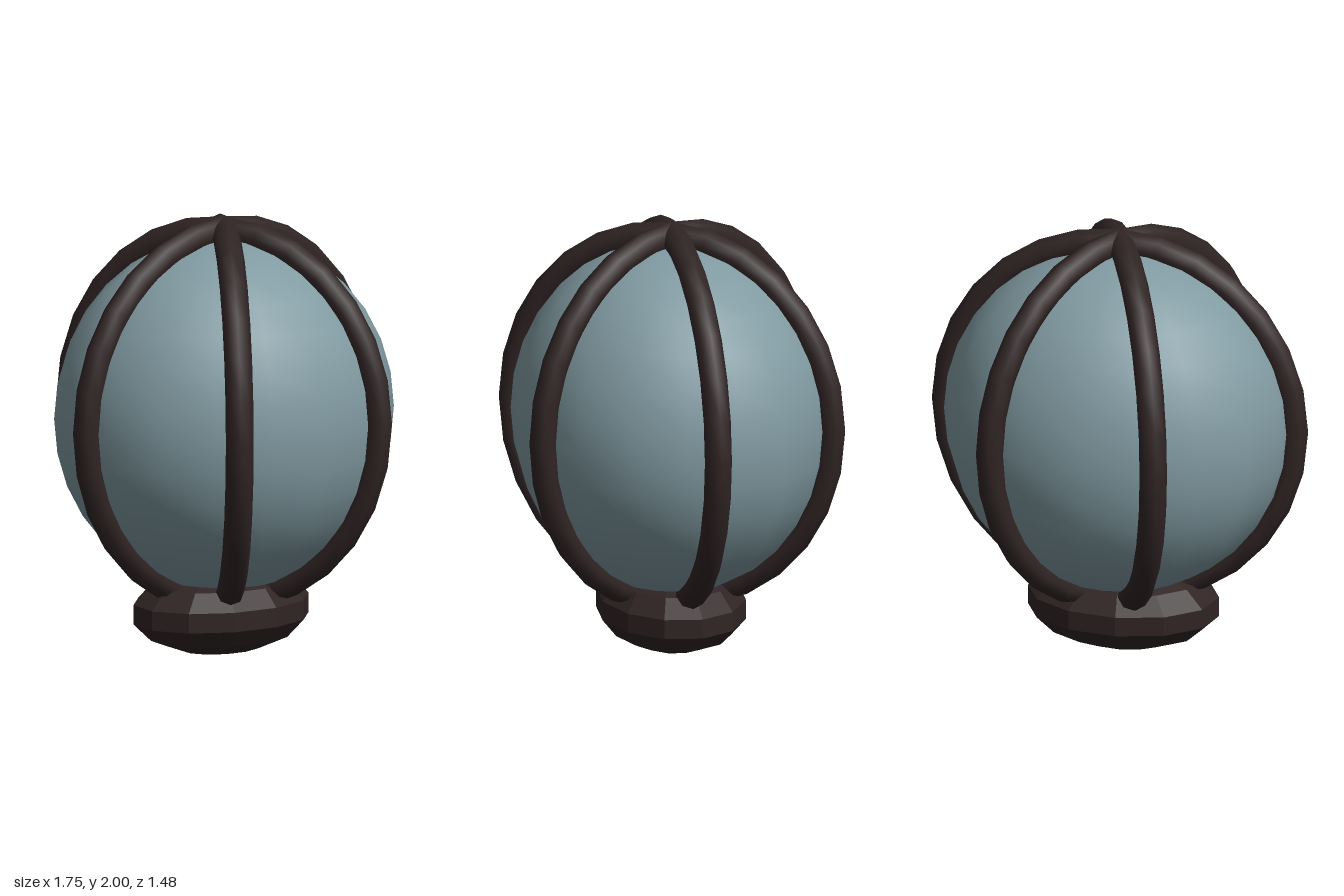
import * as THREE from 'three';

export function createModel() {
  const model = new THREE.Group();
  const glass = new THREE.MeshStandardMaterial({ name: 'blueGreyGlass', color: 0x809aa1 });
  const iron = new THREE.MeshStandardMaterial({ name: 'darkIron', color: 0x302424 });

  const add = (name, geometry, material, y) => {
    const mesh = new THREE.Mesh(geometry, material);
    mesh.name = name;
    mesh.position.y = y;
    model.add(mesh);
    return mesh;
  };

  // Smooth globe, slightly flattened front to back
  const globe = new THREE.SphereGeometry(1, 18, 16);
  globe.rotateY(Math.PI / 2).scale(0.8, 0.81, 0.725);
  add('globe', globe, glass, 1.1);

  // Three upright hoops crossing at the top: [direction x, direction z, outer reach]
  const hoops = [[0.87, -0.016, 0.875], [0.465, -0.685, 0.832], [-0.37, -0.735, 0.825]];
  hoops.forEach(([x, z, reach], i) => {
    const hoop = new THREE.TorusGeometry(0.812, 0.063, 8, 28);
    hoop.scale(reach / 0.875, 0.9 / 0.875, 1).rotateY(Math.atan2(-z, x));
    add('cageHoop' + (i + 1), hoop, iron, 1.1);
  });

  // Faceted oval foot
  const foot = new THREE.SphereGeometry(1, 12, 7).toNonIndexed();
  foot.rotateY(0.118).scale(0.45, 0.2, 0.34);
  foot.computeVertexNormals();
  const footMaterial = iron.clone();
  footMaterial.name = 'darkIronFaceted';
  footMaterial.flatShading = true;
  add('foot', foot, footMaterial, 0.203).position.x = -0.017;

  return model;
}
